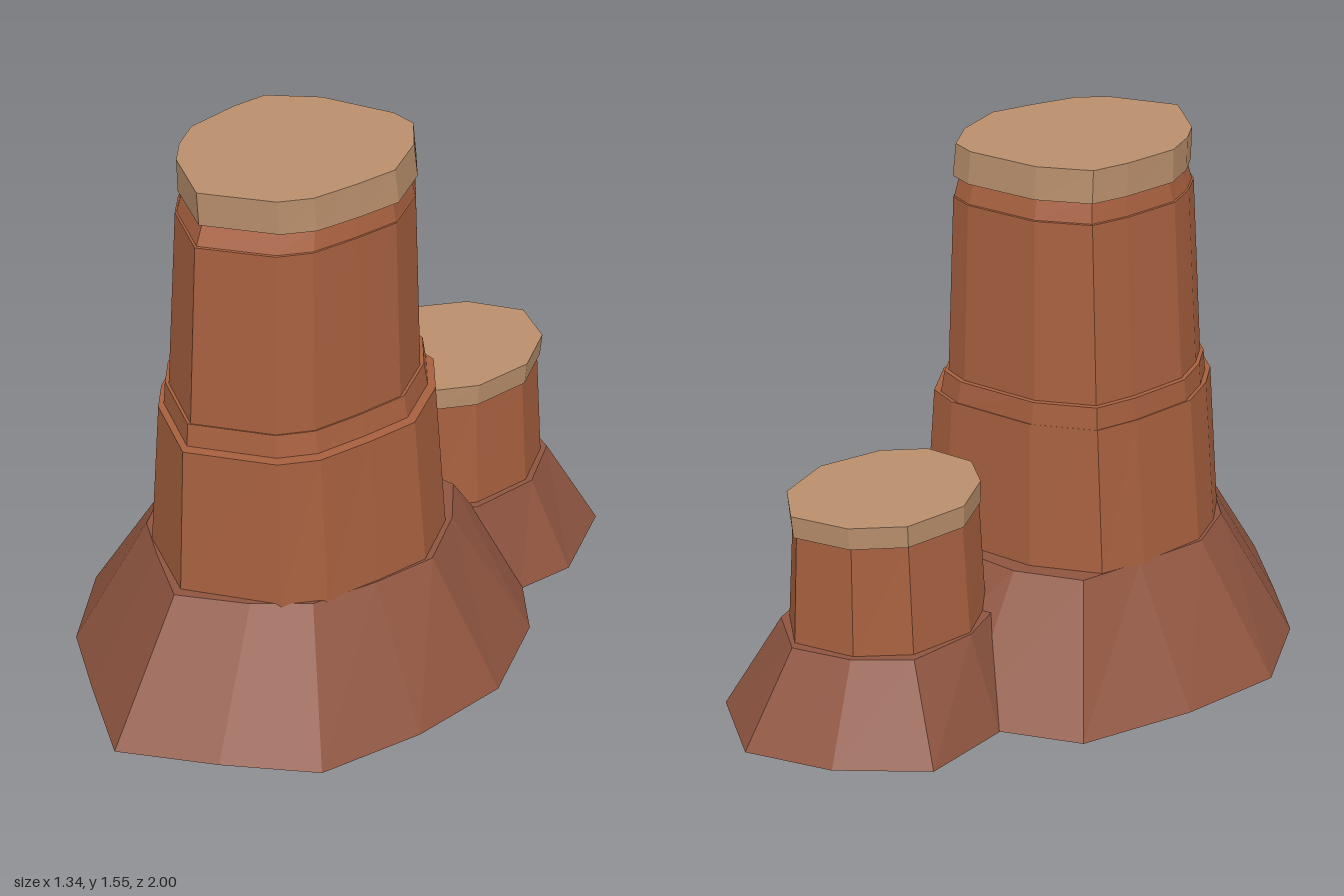
import * as THREE from 'three';

const mat = (name, color) => Object.assign(new THREE.MeshStandardMaterial({ color, flatShading: true }), { name });

// Outlines are [x, z] points running from +x towards +z.
const tallOutline = [[.325, .23], [.275, .36], [.215, .49], [.14, .555], [-.075, .6], [-.23, .435], [-.275, .34],
  [-.305, .22], [-.27, .04], [-.23, -.07], [-.08, -.13], [.15, -.12], [.23, -.08], [.295, .05]];
const shortOutline = [[.425, -.485], [.355, -.295], [.25, -.205], [.09, -.21], [-.015, -.31],
  [-.08, -.48], [-.035, -.68], [.09, -.785], [.27, -.81], [.39, -.68]];

const tallFoot = [[.67, .23], [.57, .54], [.41, .83], [.14, .925], [-.15, 1], [-.37, .755], [-.55, .545],
  [-.67, .23], [-.59, -.09], [-.445, -.42], [-.1, -.53], [.2, -.55], [.43, -.45], [.62, -.11]];
const tallShoulder = [[.455, .23], [.37, .42], [.265, .6], [.11, .68], [-.1, .735], [-.25, .57], [-.365, .43],
  [-.42, .23], [-.355, 0], [-.29, -.195], [-.09, -.255], [.13, -.23], [.33, -.18], [.41, 0]];
const shortFoot = [[.59, -.475], [.51, -.3], [.33, -.14], [.08, -.14], [-.12, -.29],
  [-.21, -.5], [-.195, -.79], [.04, -.945], [.305, -1], [.545, -.8]];
const shortShoulder = [[.455, -.48], [.375, -.26], [.25, -.18], [.09, -.18], [-.065, -.33],
  [-.1, -.48], [-.065, -.7], [.08, -.8], [.26, -.835], [.41, -.7]];

// Stretch an outline to fill the given bounds.
function fit(outline, x0, x1, z0, z1) {
  const box = new THREE.Box2().setFromPoints(outline.map(p => new THREE.Vector2(...p)));
  const s = box.getSize(new THREE.Vector2());
  return outline.map(([x, z]) => [
    x0 + (x - box.min.x) / s.x * (x1 - x0),
    z0 + (z - box.min.y) / s.y * (z1 - z0)]);
}

// Closed solid through a stack of { y, ring } sections.
function loft(sections) {
  const n = sections[0].ring.length, pos = [], idx = [];
  for (const { y, ring } of sections) for (const [x, z] of ring) pos.push(x, y, z);
  for (let k = 0; k < sections.length - 1; k++) {
    for (let i = 0; i < n; i++) {
      const a = k * n + i, b = k * n + (i + 1) % n;
      idx.push(a, a + n, b, a + n, b + n, b);
    }
  }
  for (const k of [0, sections.length - 1]) {
    const { y, ring } = sections[k], c = pos.length / 3;
    pos.push(ring.reduce((s, p) => s + p[0], 0) / n, y, ring.reduce((s, p) => s + p[1], 0) / n);
    for (let i = 0; i < n; i++) {
      const a = k * n + i, b = k * n + (i + 1) % n;
      idx.push(c, ...(k ? [b, a] : [a, b]));
    }
  }
  const g = new THREE.BufferGeometry();
  g.setAttribute('position', new THREE.Float32BufferAttribute(pos, 3));
  g.setIndex(idx);
  const flat = g.toNonIndexed();
  flat.computeVertexNormals();
  return flat;
}

export function createModel() {
  const model = new THREE.Group();
  model.name = 'rockPillars';
  const slope = mat('darkRock', 0x8f5540);
  const rock = mat('redRock', 0xa7603f);
  const tan = mat('tanRock', 0xb98f6c);

  const add = (parent, name, material, sections) => {
    const mesh = new THREE.Mesh(loft(sections), material);
    mesh.name = name;
    parent.add(mesh);
  };
  // Sections given as [y, x0, x1, z0, z1]
  const levels = (outline, rows) => rows.map(([y, ...b]) => ({ y, ring: fit(outline, ...b) }));

  // Tall pillar: sloping base, stepped column, cap
  const tall = new THREE.Group();
  tall.name = 'tallPillar';
  add(tall, 'tallBase', slope, [{ y: 0, ring: tallFoot }, { y: .378, ring: tallShoulder }]);
  add(tall, 'tallColumn', rock, levels(tallOutline, [
    [.37, -.41, .44, -.2, .7],
    [.81, -.372, .4, -.185, .685],
    [.81, -.365, .37, -.182, .65],
    [.875, -.36, .358, -.176, .642],
    [.875, -.345, .35, -.16, .637],
    [1.4, -.312, .33, -.142, .617],
    [1.402, -.308, .328, -.138, .61],
    [1.465, -.295, .315, -.12, .58]]));
  add(tall, 'tallCap', tan, levels(tallOutline, [
    [1.46, -.308, .335, -.135, .6],
    [1.555, -.306, .325, -.13, .605]]));

  // Short pillar behind it
  const short = new THREE.Group();
  short.name = 'shortPillar';
  add(short, 'shortBase', slope, [{ y: 0, ring: shortFoot }, { y: .27, ring: shortShoulder }]);
  add(short, 'shortColumn', rock, levels(shortOutline, [
    [.26, -.092, .437, -.806, -.195],
    [.6, -.072, .412, -.796, -.21]]));
  add(short, 'shortCap', tan, levels(shortOutline, [
    [.595, -.078, .42, -.805, -.205],
    [.66, -.08, .425, -.81, -.205]]));

  model.add(tall, short);
  return model;
}
